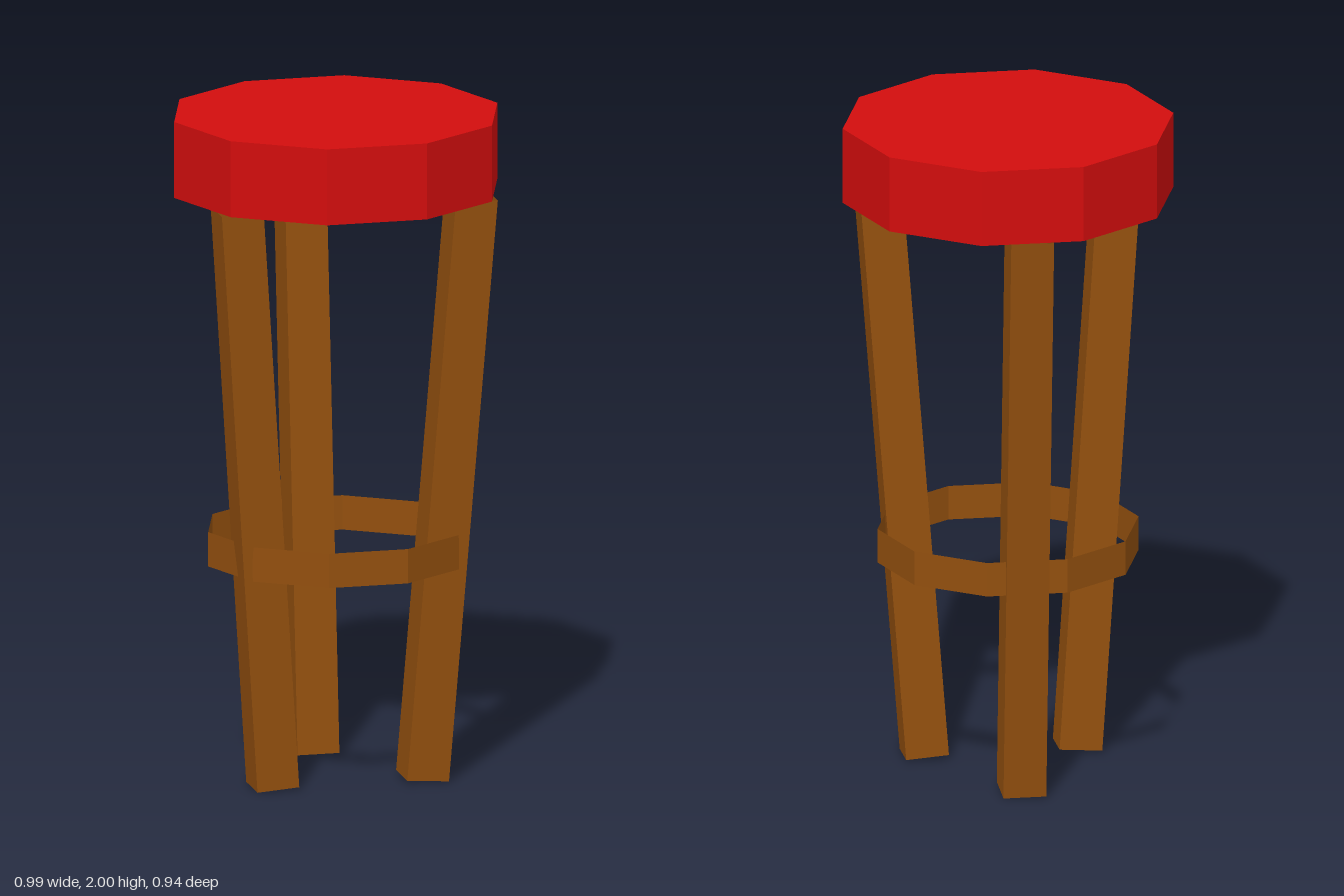
import * as THREE from 'three';

const seatRed = new THREE.MeshStandardMaterial({ name: 'seatRed', color: 0xd20d0d, side: THREE.DoubleSide });
const woodBrown = new THREE.MeshStandardMaterial({ name: 'woodBrown', color: 0x924f0e, side: THREE.DoubleSide });

// Open-ended prism with crisp facets, centred on its own axis
function openPrism(radius, height, sides) {
  const geometry = new THREE.CylinderGeometry(radius, radius, height, sides, 1, true, Math.PI / sides).toNonIndexed();
  geometry.computeVertexNormals();
  return geometry;
}

function part(name, geometry, material, x, y, z) {
  const mesh = new THREE.Mesh(geometry, material);
  mesh.name = name;
  mesh.position.set(x, y, z);
  return mesh;
}

// Square hollow leg leaning from its foot to its top
function leg(name, foot, top) {
  const axis = new THREE.Vector3().subVectors(top, foot);
  const centre = new THREE.Vector3().addVectors(top, foot).multiplyScalar(0.5);
  const mesh = part(name, openPrism(0.064 * Math.SQRT2, axis.length(), 4), woodBrown, centre.x, centre.y, centre.z);
  mesh.quaternion.setFromUnitVectors(new THREE.Vector3(0, 1, 0), axis.normalize());
  return mesh;
}

export function createModel() {
  const stool = new THREE.Group();
  stool.name = 'stool';
  const v = (x, y, z) => new THREE.Vector3(x, y, z);

  // Ten-sided seat, a shell open underneath
  const seat = new THREE.Group();
  seat.name = 'seat';
  seat.add(
    part('seatRim', openPrism(0.494, 0.23, 10), seatRed, 0, 1.885, 0.003),
    part('seatTop', new THREE.CircleGeometry(0.494, 10).rotateX(-Math.PI / 2), seatRed, 0, 2, 0.003)
  );
  stool.add(seat);

  // Three splayed legs: one at the back, a mirrored pair at the front
  stool.add(leg('backLeg', v(0, 0.008, -0.257), v(0, 1.775, -0.407)));
  for (const [name, s] of [['frontLeftLeg', 1], ['frontRightLeg', -1]]) {
    stool.add(leg(name, v(s * 0.229, 0.008, 0.138), v(s * 0.358, 1.775, 0.213)));
  }

  // Thin footrest band around the legs
  stool.add(part('footrestRing', openPrism(0.39, 0.104, 10), woodBrown, 0, 0.7, 0.003));

  return stool;
}
